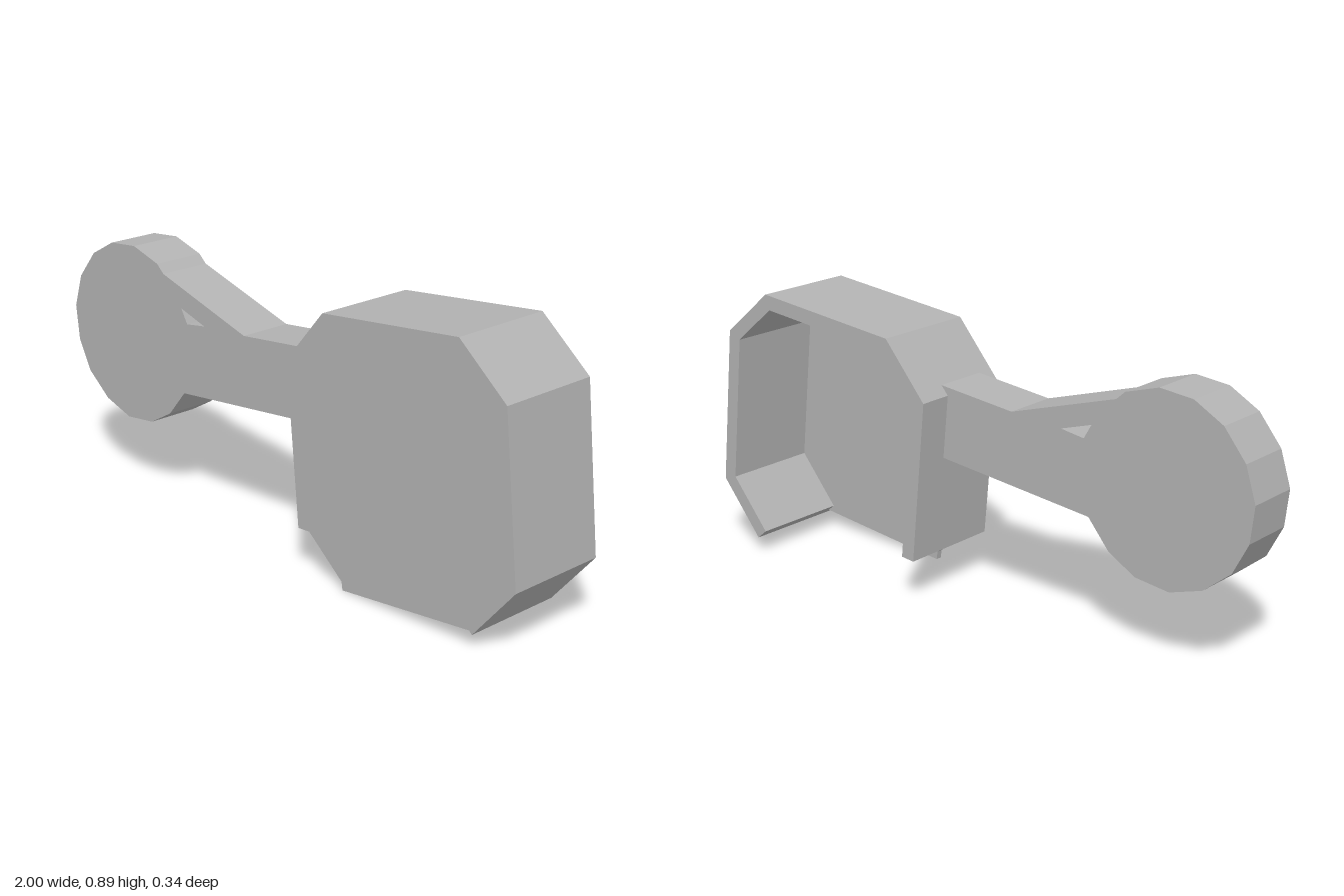
import * as THREE from 'three';

const v = ([x, y]) => new THREE.Vector2(x, y);

// Inner edge of a wall: offset a clockwise path to its right with mitred corners
function insetPath(path, t) {
  const normal = (a, b) => {
    const d = b.clone().sub(a).normalize();
    return new THREE.Vector2(d.y, -d.x);
  };
  return path.map((p, i) => {
    const before = i > 0 ? normal(path[i - 1], p) : normal(p, path[i + 1]);
    const after = i < path.length - 1 ? normal(p, path[i + 1]) : before;
    const mid = before.clone().add(after).normalize();
    return p.clone().addScaledVector(mid, t / mid.dot(before));
  });
}

export function createModel() {
  const model = new THREE.Group();
  const grey = new THREE.MeshStandardMaterial({ color: 0xb2b2b2 });
  grey.name = 'grey';

  const addSlab = (name, points, z0, z1, holes = []) => {
    const shape = new THREE.Shape(points);
    holes.forEach((h) => shape.holes.push(new THREE.Path(h)));
    const geometry = new THREE.ExtrudeGeometry(shape, { depth: z1 - z0, bevelEnabled: false });
    geometry.translate(0, 0, z0);
    const mesh = new THREE.Mesh(geometry, grey);
    mesh.name = name;
    model.add(mesh);
  };

  // Octagonal housing wall, open at the back and the bottom
  const wall = [
    [0.15, 0.14], [0.1, 0.66], [0.25, 0.835], [0.77, 0.887],
    [0.945, 0.74], [1, 0.22], [0.85, 0.043],
  ].map(v);
  addSlab('housingWall', [...wall, ...insetPath(wall, 0.047).reverse()], -0.17, 0.15);

  // Thin front plate closing the housing
  const plateBottom = [[0.84, 0.053], [0.34, 0], [0.336, 0.027], [0.197, 0.143]].map(v);
  addSlab('frontPlate', [...wall, ...plateBottom], 0.15, 0.17);

  // Arm with a faceted round end and a small triangular slot
  const arm = [
    [0.125, 0.689], [-0.15, 0.661], [-0.53, 0.776], [-0.56, 0.803], [-0.675, 0.838],
    [-0.79, 0.827], [-0.89, 0.772], [-0.965, 0.68], [-1, 0.57], [-0.987, 0.455],
    [-0.935, 0.355], [-0.842, 0.28], [-0.73, 0.244], [-0.61, 0.258], [-0.515, 0.312],
    [-0.44, 0.401], [0.125, 0.458],
  ].map(v);
  const slot = [[-0.445, 0.682], [-0.335, 0.648], [-0.418, 0.636]].map(v);
  addSlab('arm', arm, -0.06, 0.115, [slot]);

  return model;
}
